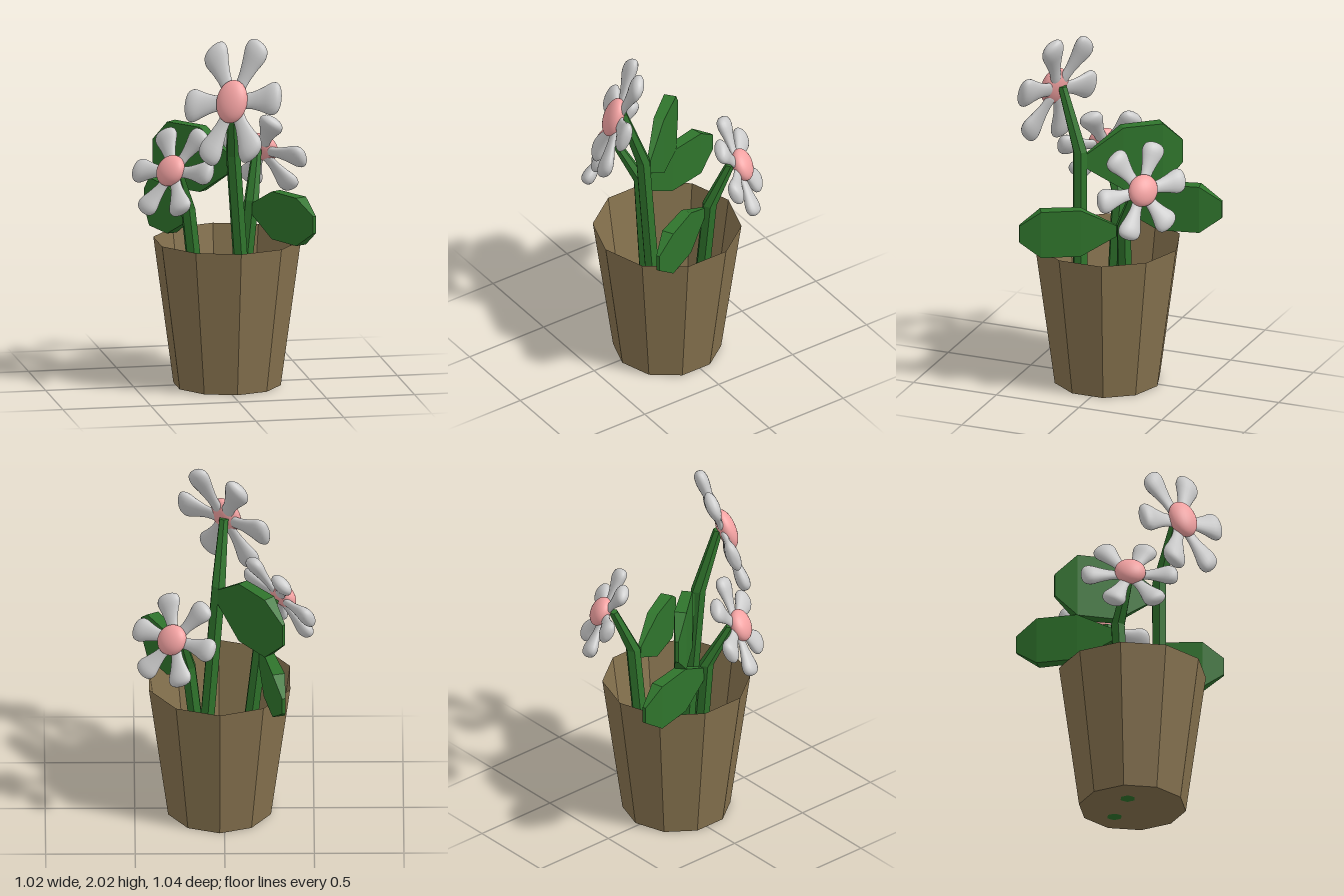
import * as THREE from 'three';

const V = (x, y, z) => new THREE.Vector3(x, y, z);
const petalMat = new THREE.MeshStandardMaterial({ color: 0xcccccc });
const discMat = new THREE.MeshStandardMaterial({ color: 0xf4a3a3 });
const greenMat = new THREE.MeshStandardMaterial({ color: 0x2f742c, flatShading: true });
const potMat = new THREE.MeshStandardMaterial({ color: 0x87734f, flatShading: true, side: THREE.DoubleSide });

function add(parent, name, geometry, material) {
  const mesh = new THREE.Mesh(geometry, material);
  mesh.name = name;
  parent.add(mesh);
  return mesh;
}

// Moves every vertex of a geometry by a rule
function reshape(geometry, rule) {
  const pos = geometry.attributes.position, p = V(0, 0, 0);
  for (let i = 0; i < pos.count; i++) {
    const q = rule(p.fromBufferAttribute(pos, i));
    pos.setXYZ(i, q.x, q.y, q.z);
  }
  geometry.computeVertexNormals();
  return geometry;
}

// Six-sided stem through three points: root, knee and flower
function stemGeometry(points) {
  const radii = [0.044, 0.043, 0.028];
  return reshape(new THREE.CylinderGeometry(1, 1, 1, 6, 2), (p) => {
    const i = Math.round((p.y + 0.5) * 2);
    return V(p.x * radii[i], 0, p.z * radii[i]).add(points[i]);
  });
}

// Upright slab leaf: narrow stalk, broad middle, blunt tip
function leafGeometry({ start, tip, mid, height }) {
  const along = [0, 0.37, 0.78, 1];
  const tall = [0.24, 1, 1, 0.36];
  const thick = [0.02, 0.06, 0.07, 0.02];
  const a = V(start[0], mid, start[1]), b = V(tip[0], mid, tip[1]);
  const side = V(0, 1, 0).cross(b.clone().sub(a)).normalize();
  return reshape(new THREE.BoxGeometry(1, 1, 1, 1, 1, 3), (p) => {
    const i = Math.round((p.z + 0.5) * 3);
    const q = a.clone().lerp(b, along[i]).addScaledVector(side, p.x * thick[i]);
    q.y += p.y * tall[i] * height;
    return q;
  });
}

// Spoon-shaped petal along +y, one unit long
function petalGeometry() {
  const curve = new THREE.SplineCurve([
    [0.001, 0.1], [0.11, 0.16], [0.125, 0.38], [0.18, 0.6], [0.245, 0.8],
    [0.215, 0.93], [0.11, 0.99], [0.001, 1],
  ].map(([r, y]) => new THREE.Vector2(r, y)));
  const profile = curve.getPoints(20).map((p) => new THREE.Vector2(Math.max(p.x, 0), p.y));
  return new THREE.LatheGeometry(profile, 20).scale(1, 1, 0.56);
}

// Flower in the plane of its right (u) and up (v) radii, facing out along facing
function flower({ centre, u, v, flip }) {
  const group = new THREE.Group();
  group.name = 'flower';
  const U = V(...u), W = V(...v);
  if (flip) U.negate();
  const n = U.clone().cross(W).setLength(0.28);
  const frame = new THREE.Matrix4().makeBasis(U, W, n).setPosition(V(...centre));
  for (let i = 0; i < 6; i++) {
    const petal = petalGeometry().rotateZ((i + 0.5) * Math.PI / 3).applyMatrix4(frame);
    add(group, 'petal', petal, petalMat);
  }
  const disc = new THREE.SphereGeometry(1, 28, 18).scale(0.32, 0.32, 0.19).translate(0, 0, 0.09);
  add(group, 'flowerCentre', disc.applyMatrix4(frame), discMat);
  return group;
}

const PLANTS = [
  { // tall front plant
    stem: [[0.13, 0, 0.145], [0.03, 1.34, 0.19], [0, 1.7, 0.31]],
    leaf: { start: [0.03, 0.15], tip: [-0.33, -0.28], mid: 1.285, height: 0.37 },
    flower: { centre: [0, 1.68, 0.34], u: [0.25, 0.04, 0.12], v: [0.046, 0.358, -0.113] },
  },
  { // low plant on the right
    stem: [[-0.09, 0, 0.055], [-0.2, 1.02, 0.05], [-0.28, 1.26, 0.16]],
    leaf: { start: [-0.2, 0.03], tip: [-0.33, -0.52], mid: 0.967, height: 0.273 },
    flower: { centre: [-0.31, 1.26, 0.18], u: [0.18, 0.03, 0.21], v: [0.09, 0.25, -0.087] },
  },
  { // low plant at the back left
    stem: [[0.09, 0, -0.12], [0.2, 1.01, -0.145], [0.25, 1.27, -0.25]],
    leaf: { start: [0.2, -0.1], tip: [0.455, 0.38], mid: 0.967, height: 0.273 },
    flower: { centre: [0.28, 1.26, -0.285], u: [0.22, -0.02, 0.17], v: [-0.084, 0.25, 0.087], flip: true },
  },
];

export function createModel() {
  const model = new THREE.Group();
  model.name = 'pottedFlowers';

  // Hollow ten-sided pot with a floor
  const pot = new THREE.Group();
  pot.name = 'pot';
  pot.position.set(0.027, 0, 0.025);
  add(pot, 'potWall', new THREE.CylinderGeometry(0.415, 0.302, 0.83, 10, 1, true).translate(0, 0.415, 0), potMat);
  add(pot, 'potFloor', new THREE.CircleGeometry(0.302, 10).rotateZ(Math.PI / 2).rotateX(Math.PI / 2), potMat);
  model.add(pot);

  for (const spec of PLANTS) {
    const plant = new THREE.Group();
    plant.name = 'plant';
    add(plant, 'stem', stemGeometry(spec.stem.map((p) => V(...p))), greenMat);
    add(plant, 'leaf', leafGeometry(spec.leaf), greenMat);
    plant.add(flower(spec.flower));
    model.add(plant);
  }
  return model;
}
